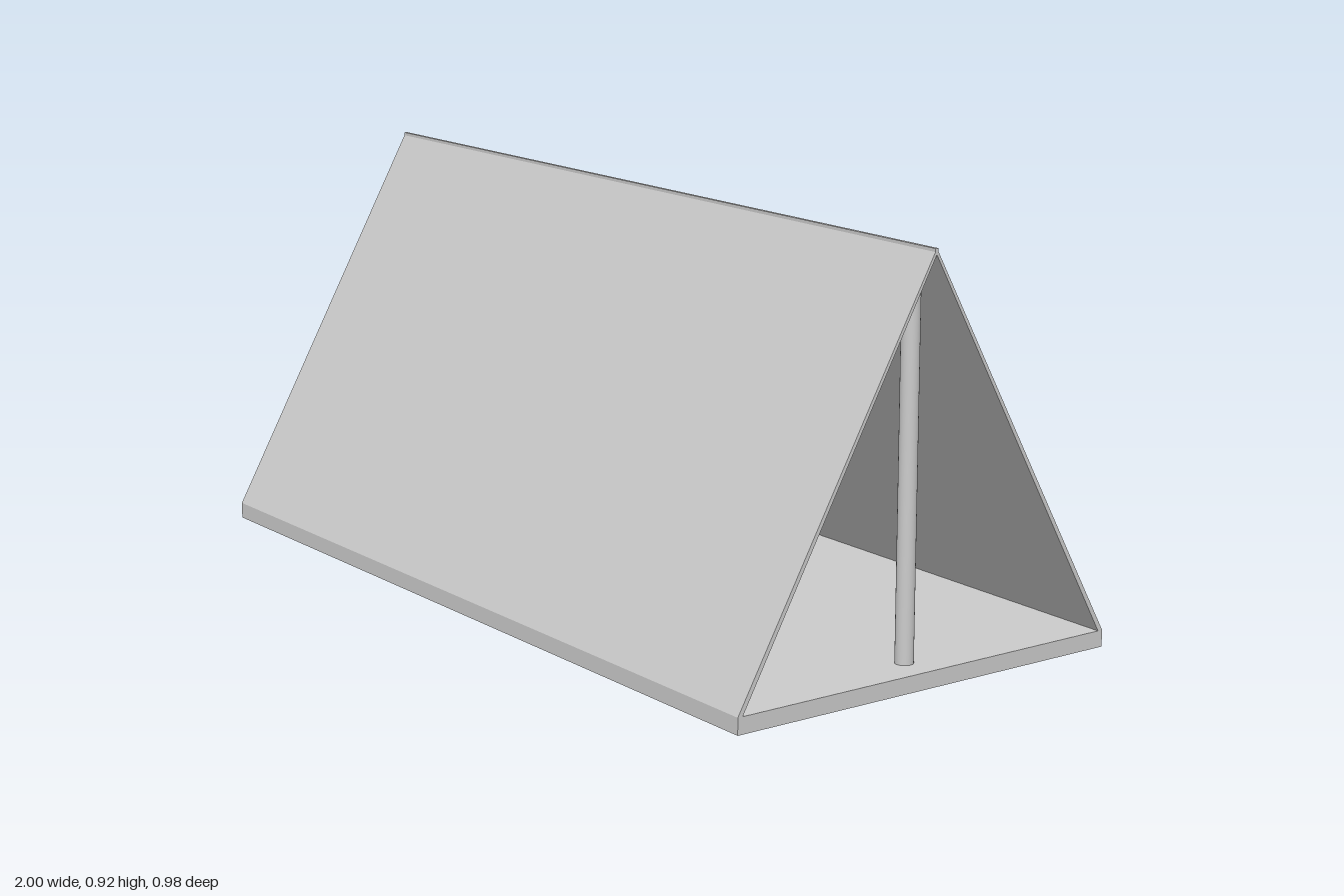
import * as THREE from 'three';

const LENGTH = 2, HALF = 0.49, FLOOR = 0.037, TOP = 0.915;

export function createModel() {
  const group = new THREE.Group();
  const material = new THREE.MeshStandardMaterial({ color: 0xcccccc });
  const add = (name, geometry, x = 0, y = 0) => {
    const mesh = new THREE.Mesh(geometry, material);
    mesh.name = name;
    mesh.position.set(x, y, 0);
    group.add(mesh);
  };

  // Flat ground sheet
  add('floor', new THREE.BoxGeometry(LENGTH, FLOOR, HALF * 2), 0, FLOOR / 2);

  // Sloping walls: a thin section running the full length
  const wall = (side) => {
    const section = [[HALF, FLOOR], [0.004, 0.908], [0, 0.902], [HALF - 0.012, FLOOR]];
    const shape = new THREE.Shape(section.map(([z, y]) => new THREE.Vector2(-side * z, y)));
    const geometry = new THREE.ExtrudeGeometry(shape, { depth: LENGTH, bevelEnabled: false });
    geometry.translate(0, 0, -LENGTH / 2).rotateY(Math.PI / 2);
    return geometry;
  };
  add('frontWall', wall(1));
  add('backWall', wall(-1));

  // Narrow ridge joining the walls
  add('ridge', new THREE.BoxGeometry(LENGTH, 0.013, 0.008), 0, TOP - 0.0065);

  // Upright pole with a tapered tip near each open end
  for (const side of [1, -1]) {
    const name = side > 0 ? 'left' : 'right';
    const x = side * 0.925;
    add(name + 'Pole', new THREE.CylinderGeometry(0.02, 0.02, 0.84 - FLOOR, 24), x, (0.84 + FLOOR) / 2);
    add(name + 'PoleTip', new THREE.CylinderGeometry(0.002, 0.02, 0.064, 24), x, 0.872);
  }
  return group;
}
